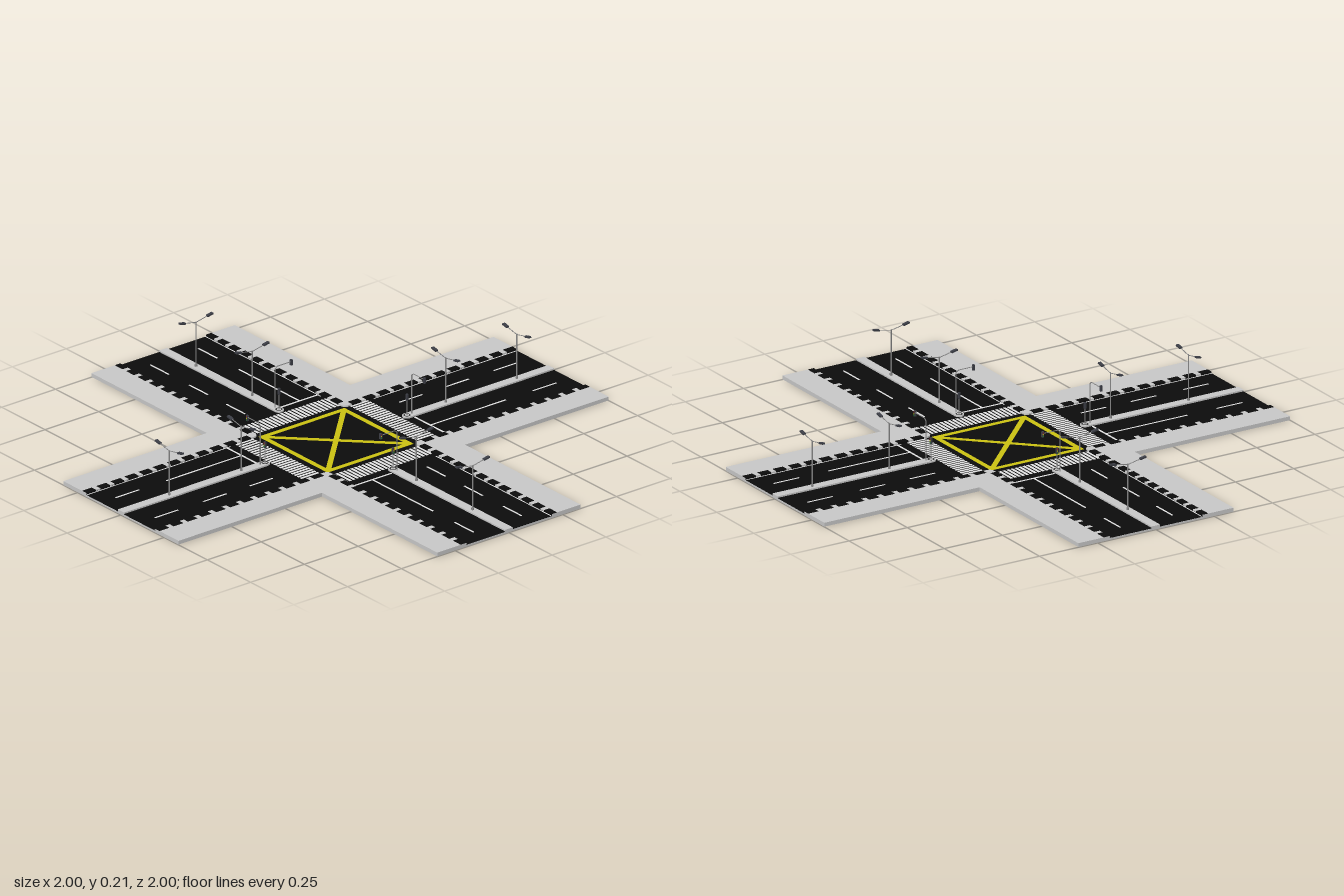
import * as THREE from 'three';

const mat = (name, color) => {
  const m = new THREE.MeshStandardMaterial({ color });
  m.name = name;
  return m;
};

const ROAD = 0.01, KERB = 0.016;

export function createModel() {
  const paving = mat('paving', 0xc8c8c8);
  const asphalt = mat('asphalt', 0x0c0c0c);
  const white = mat('white paint', 0xe2e2e2);
  const yellow = mat('yellow paint', 0xcbc112);
  const steel = mat('steel', 0x8a8a8a);
  const dark = mat('dark housing', 0x3c3e46);
  const red = mat('red lens', 0xb02020);
  const green = mat('green lens', 0x208a3a);

  const model = new THREE.Group();
  model.name = 'crossroads';

  // box given by its x, y and z ranges
  const box = (parent, name, m, x0, x1, y0, y1, z0, z1) => {
    const mesh = new THREE.Mesh(new THREE.BoxGeometry(x1 - x0, y1 - y0, z1 - z0), m);
    mesh.position.set((x0 + x1) / 2, (y0 + y1) / 2, (z0 + z1) / 2);
    mesh.name = name;
    parent.add(mesh);
    return mesh;
  };
  // flat paint on the road surface
  const paint = (parent, name, x0, x1, z0, z1, m = white) =>
    box(parent, name, m, x0, x1, ROAD - 0.0005, ROAD + 0.0008, z0, z1);
  // round rod between two points
  const rod = (parent, name, a, b, r, m = steel) => {
    const p = new THREE.Vector3(...a), d = new THREE.Vector3(...b).sub(p);
    const mesh = new THREE.Mesh(new THREE.CylinderGeometry(r, r, d.length(), 8), m);
    mesh.position.copy(p).addScaledVector(d, 0.5);
    mesh.quaternion.setFromUnitVectors(new THREE.Vector3(0, 1, 0), d.normalize());
    mesh.name = name;
    parent.add(mesh);
  };
  // outline in x and z, raised to a given top
  const slab = (parent, name, m, shape, top, depth) => {
    const g = new THREE.ExtrudeGeometry(shape, { depth, bevelEnabled: false, curveSegments: 8 });
    const mesh = new THREE.Mesh(g.rotateX(Math.PI / 2), m);
    mesh.position.y = top;
    mesh.name = name;
    parent.add(mesh);
  };

  // middle of the junction
  box(model, 'junctionRoad', asphalt, -0.333, 0.333, 0.003, ROAD, -0.333, 0.333);
  box(model, 'junctionFoundation', paving, -0.333, 0.333, 0.001, 0.003, -0.333, 0.333);
  box(model, 'junctionUnderside', asphalt, -0.24, 0.24, 0, 0.001, -0.32, 0.32);

  // yellow box marking
  const yellowBox = new THREE.Group();
  yellowBox.name = 'yellowBoxMarking';
  model.add(yellowBox);
  for (const s of [-1, 1]) {
    const c = s * 0.19;
    paint(yellowBox, 'boxEdge', c - 0.01, c + 0.01, -0.2, 0.2, yellow);
    paint(yellowBox, 'boxEdge', -0.18, 0.18, c - 0.01, c + 0.01, yellow);
    paint(yellowBox, 'boxDiagonal', -0.258, 0.258, -0.01, 0.01, yellow).rotation.y = s * Math.PI / 4;
  }

  // twin street lamp with arms along z
  const streetLamp = (parent, x) => {
    const lamp = new THREE.Group();
    lamp.name = 'streetLamp';
    lamp.position.x = x;
    parent.add(lamp);
    rod(lamp, 'lampPole', [0, 0.012, 0], [0, 0.194, 0], 0.0025);
    rod(lamp, 'lampFoot', [0, 0.014, 0], [0, 0.024, 0], 0.005);
    for (const s of [-1, 1]) {
      rod(lamp, 'lampArm', [0, 0.191, 0], [0, 0.202, s * 0.055], 0.0016);
      const head = box(lamp, 'lampHead', dark, -0.006, 0.006, 0.201, 0.207, -0.013, 0.013);
      head.position.z = s * 0.064;
      head.rotation.x = -s * 0.2;
    }
  };

  // signal housing with lenses facing outwards along x
  const signalHead = (parent, x, y, z, h) => {
    box(parent, 'signalHousing', dark, x - 0.004, x + 0.004, y - h / 2, y + h / 2, z - 0.004, z + 0.004);
    [red, yellow, green].forEach((m, i) => {
      const ly = y + (1 - i) * h * 0.3;
      rod(parent, 'signalLens', [x + 0.003, ly, z], [x + 0.005, ly, z], h * 0.11, m);
    });
  };

  // one road arm, built along +x
  const buildArm = (lampPositions) => {
    const arm = new THREE.Group();
    arm.name = 'roadArm';
    box(arm, 'armFoundation', paving, 0.333, 1, 0.001, 0.008, -0.333, 0.333);
    box(arm, 'armRoad', asphalt, 0.333, 0.9995, 0.008, ROAD, -0.21, 0.21);

    // L-shaped corner pavement with rounded inner corner
    const L = new THREE.Shape();
    L.moveTo(0.22, 0.2);
    [[1, 0.2], [1, 0.333], [0.333, 0.333], [0.333, 1], [0.2, 1], [0.2, 0.22]].forEach(p => L.lineTo(...p));
    L.quadraticCurveTo(0.2, 0.2, 0.22, 0.2);
    slab(arm, 'cornerPavement', paving, L, KERB, KERB - 0.001);

    // striped kerbs and edge lines
    for (const s of [-1, 1]) {
      for (let i = 0; i < 12; i++) {
        const x = 0.235 + i * 0.0655, z = s * 0.2115;
        box(arm, 'kerbStripe', asphalt, x, Math.min(x + 0.044, 0.9995), 0.008, KERB + 0.0008, z - 0.0125, z + 0.0125);
      }
      paint(arm, 'edgeLine', 0.333, 0.9995, s * 0.196 - 0.002, s * 0.196 + 0.002);
    }

    // zebra crossing
    for (let i = 0; i < 24; i++) {
      const z = -0.1955 + i * 0.017;
      paint(arm, 'zebraStripe', 0.225, 0.308, z - 0.0055, z + 0.0055);
    }

    // lane markings
    paint(arm, 'stopLine', 0.345, 0.353, 0.022, 0.194);
    paint(arm, 'solidLaneLine', 0.353, 0.7, 0.108, 0.115);
    paint(arm, 'laneDash', 0.825, 0.935, 0.108, 0.115);
    for (const x of [0.385, 0.6, 0.825]) paint(arm, 'laneDash', x, x + 0.108, -0.117, -0.11);

    // raised median with rounded nose
    const median = new THREE.Shape();
    median.moveTo(1, -0.018);
    median.lineTo(1, 0.018);
    median.lineTo(0.33, 0.018);
    median.absarc(0.33, 0, 0.018, Math.PI / 2, Math.PI * 1.5, false);
    slab(arm, 'median', paving, median, KERB, KERB - 0.008);
    const ring = new THREE.Mesh(new THREE.RingGeometry(0.009, 0.013, 20).rotateX(-Math.PI / 2), asphalt);
    ring.position.set(0.33, KERB + 0.0006, 0);
    ring.name = 'medianNoseRing';
    arm.add(ring);

    // traffic signals: tall overhead one and short one
    const signals = new THREE.Group();
    signals.name = 'trafficSignals';
    arm.add(signals);
    rod(signals, 'tallSignalPole', [0.352, 0.012, 0], [0.352, 0.17, 0], 0.0022);
    rod(signals, 'signalArmBend', [0.352, 0.169, 0], [0.352, 0.177, 0.01], 0.0018);
    rod(signals, 'signalArm', [0.352, 0.177, 0.009], [0.352, 0.177, 0.075], 0.0016);
    signalHead(signals, 0.352, 0.174, 0.075, 0.022);
    rod(signals, 'shortSignalPole', [0.33, 0.012, 0], [0.33, 0.08, 0], 0.002);
    signalHead(signals, 0.33, 0.088, 0, 0.024);

    lampPositions.forEach(x => streetLamp(arm, x));
    return arm;
  };

  // four arms, each turned a quarter further
  [[0.465, 0.79], [0.51, 0.84], [0.485, 0.81], [0.44, 0.775]].forEach((lamps, k) => {
    const arm = buildArm(lamps);
    arm.rotation.y = k * Math.PI / 2;
    model.add(arm);
  });
  return model;
}
